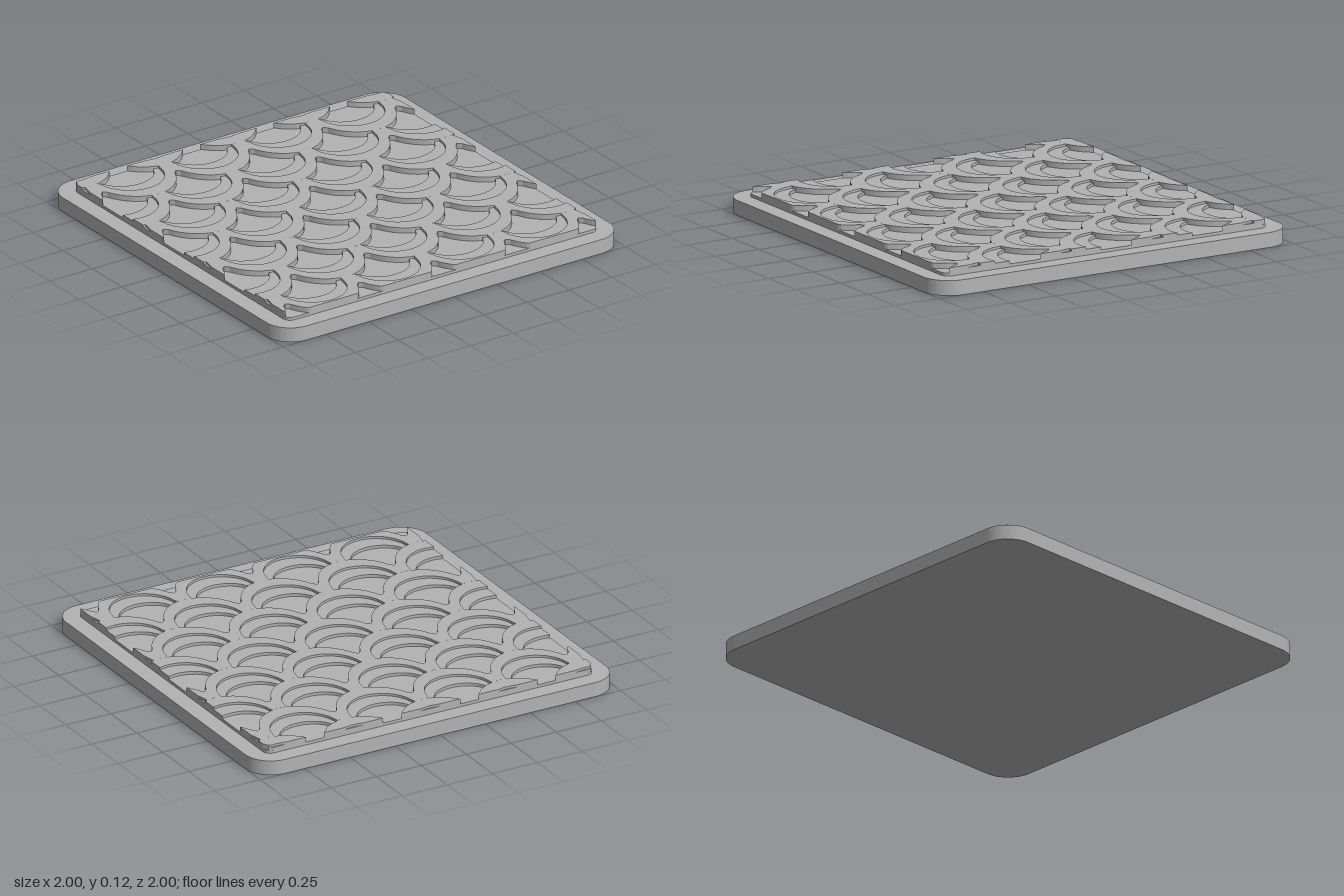
import * as THREE from 'three';

const HALF_W = 0.2143, ROW = 0.257;      // scale half width and row spacing
const EDGE = 0.91, CORNER = 0.04;        // outline of the relief field
const FLOOR = 0.09, STEP = 0.105, TOP = 0.117, BOTTOM = 0.075;

const clamp = (v, m) => Math.max(-m, Math.min(m, v));
const arch = (x, rx, rz) => rz * Math.sqrt(Math.max(0, 1 - (x / rx) ** 2));

// Curves of one scale, with z measured from its centre
const outer = x => arch(x, HALF_W, ROW);
const cover = x => -ROW + arch(HALF_W - Math.abs(x), HALF_W, ROW);
const lip = x => Math.max(cover(x), -0.17);
const middle = x => Math.max(lip(x), Math.abs(x) < 0.172 ? arch(x, 0.172, 0.175) : -1);
const inner = x => Math.max(lip(x), Math.abs(x) < 0.15 ? -0.04 + arch(x, 0.15, 0.13) : -1);

// Half depth of the rounded field at a given x
function fieldLimit(x) {
  const d = Math.max(0, Math.abs(x) - (EDGE - CORNER));
  return EDGE - CORNER + Math.sqrt(Math.max(0, CORNER ** 2 - d * d));
}

function roundedSlab(half, r, y0, y1) {
  const s = new THREE.Shape();
  const c = half - r;
  s.absarc(c, c, r, 0, Math.PI / 2);
  s.absarc(-c, c, r, Math.PI / 2, Math.PI);
  s.absarc(-c, -c, r, Math.PI, Math.PI * 1.5);
  s.absarc(c, -c, r, Math.PI * 1.5, Math.PI * 2);
  s.closePath();
  const g = new THREE.ExtrudeGeometry(s, { depth: y1 - y0, bevelEnabled: false, curveSegments: 12 });
  return g.rotateX(-Math.PI / 2).translate(0, y0, 0);
}

// Adds a raised strip between two curves, trimmed to the field
function addBand(out, cx, cz, back, front, h) {
  const quad = (a, b, c, d) => out.push(...a, ...b, ...c, ...a, ...c, ...d);
  const N = 36, b = BOTTOM;
  const at = i => {
    const x = clamp(cx + HALF_W * Math.sin((i / N - 0.5) * Math.PI), EDGE);
    const lx = clamp(x - cx, HALF_W), lim = fieldLimit(x);
    return { x, a: clamp(cz + back(lx), lim), f: clamp(cz + front(lx), lim) };
  };
  for (let i = 0; i < N; i++) {
    const p = at(i), q = at(i + 1);
    if (q.x - p.x < 1e-5 || (p.f - p.a < 1e-4 && q.f - q.a < 1e-4)) continue;
    quad([p.x, h, p.a], [p.x, h, p.f], [q.x, h, q.f], [q.x, h, q.a]);
    quad([p.x, b, p.f], [q.x, b, q.f], [q.x, h, q.f], [p.x, h, p.f]);
    quad([q.x, b, q.a], [p.x, b, p.a], [p.x, h, p.a], [q.x, h, q.a]);
    if (q.x > EDGE - 1e-5) quad([q.x, b, q.f], [q.x, b, q.a], [q.x, h, q.a], [q.x, h, q.f]);
    if (p.x < -EDGE + 1e-5) quad([p.x, b, p.a], [p.x, b, p.f], [p.x, h, p.f], [p.x, h, p.a]);
  }
}

export function createModel() {
  const group = new THREE.Group();
  const grey = new THREE.MeshStandardMaterial({ color: 0xb3b3b3 });
  grey.name = 'grey';
  const add = (geometry, name) => {
    const m = new THREE.Mesh(geometry, grey);
    m.name = name;
    group.add(m);
  };

  // Base tile and the floor of the relief
  add(roundedSlab(1, 0.14, 0, BOTTOM), 'baseTile');
  add(roundedSlab(EDGE, CORNER, BOTTOM, FLOOR), 'reliefFloor');

  // Staggered rows of overlapping scales, each with a rim and an inner step
  for (let row = -4; row <= 5; row++) {
    const cz = -0.05 + row * ROW, rims = [], steps = [];
    const shift = row % 2 ? HALF_W : 0;
    for (let col = -3; col <= 2; col++) {
      const cx = shift + col * 2 * HALF_W;
      addBand(rims, cx, cz, cover, lip, TOP);
      addBand(rims, cx, cz, middle, outer, TOP);
      addBand(steps, cx, cz, inner, middle, STEP);
    }
    for (const [points, name] of [[rims, 'scaleRims'], [steps, 'scaleSteps']]) {
      if (!points.length) continue;
      const g = new THREE.BufferGeometry();
      g.setAttribute('position', new THREE.Float32BufferAttribute(points, 3));
      g.computeVertexNormals();
      add(g, name);
    }
  }
  return group;
}
